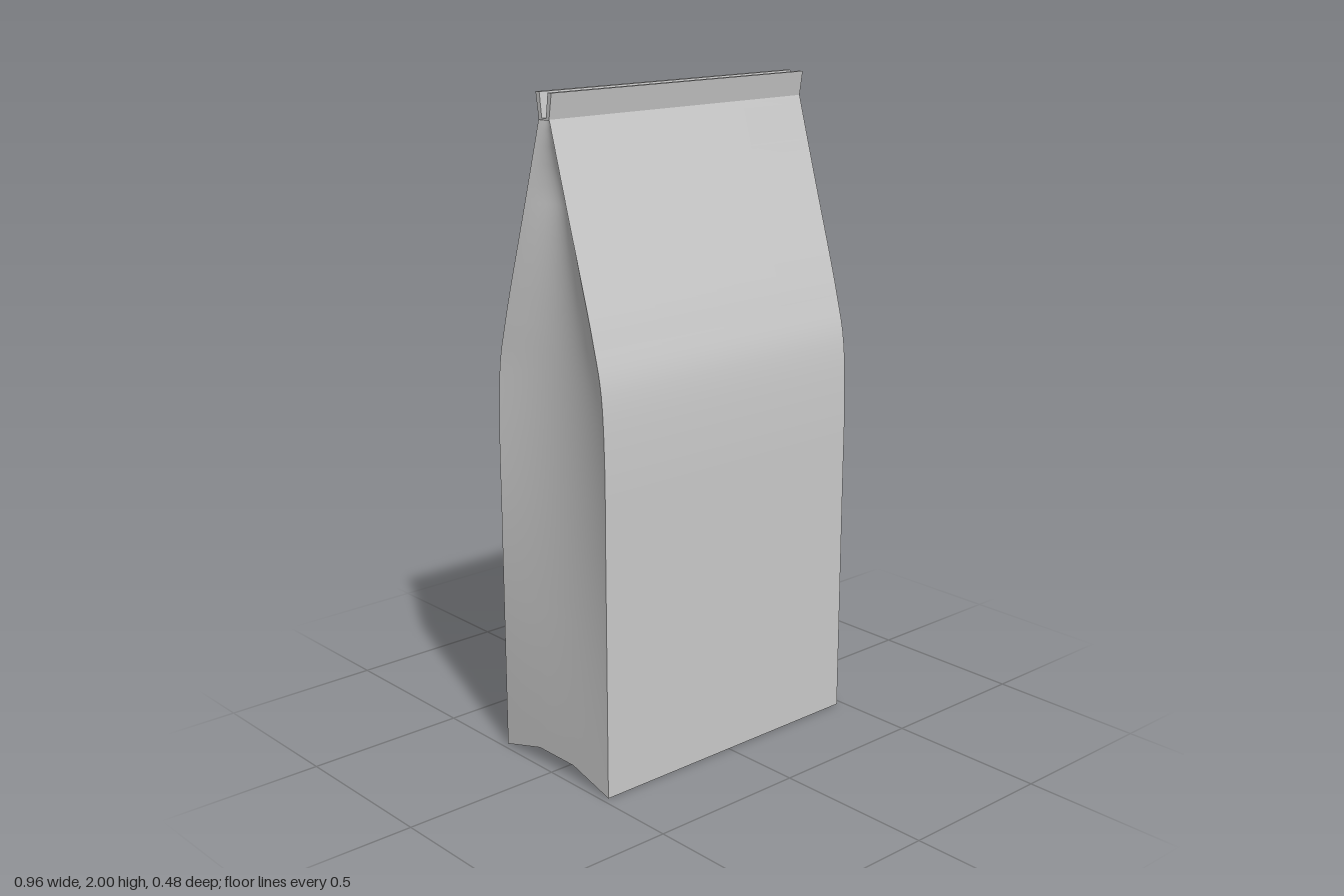
import * as THREE from 'three';
import { ParametricGeometry } from 'three/addons/geometries/ParametricGeometry.js';

const HALF_WIDTH = 0.48;
const HALF_DEPTH = 0.24;

// Edge of the front panel as (z, y), from the base to the neck
const profile = new THREE.SplineCurve([
  [0.24, 0], [0.24, 0.25], [0.24, 0.5], [0.24, 0.75], [0.24, 1.0],
  [0.229, 1.2], [0.197, 1.34], [0.163, 1.46], [0.093, 1.69], [0.022, 1.93],
].map(([z, y]) => new THREE.Vector2(z, y)));

// Rise of the hollow base at s = -1..1 across the depth
const arch = (s) => 0.045 * Math.min(1, (1 - Math.abs(s)) * 1.5);

// How far the side gusset folds inwards at height y
function foldDepth(y) {
  const grow = 0.05 * THREE.MathUtils.smoothstep(y, 0, 1.6);
  return grow * (1 - 0.7 * THREE.MathUtils.smoothstep(y, 1.7, 1.93));
}

export function createModel() {
  const bag = new THREE.Group();
  bag.name = 'bag';
  const material = new THREE.MeshStandardMaterial({ color: 0xcccccc, side: THREE.DoubleSide });

  const add = (name, geometry, turn = 0) => {
    const mesh = new THREE.Mesh(geometry, material);
    mesh.name = name;
    mesh.rotation.y = turn;
    bag.add(mesh);
  };

  // Front and back panels
  const panel = new ParametricGeometry((u, v, target) => {
    const p = profile.getPoint(v);
    target.set((u * 2 - 1) * HALF_WIDTH, p.y, p.x);
  }, 4, 45);
  add('frontPanel', panel);
  add('backPanel', panel, Math.PI);

  // Side gussets, folded gently inwards and following the hollow base
  const gusset = new ParametricGeometry((u, v, target) => {
    const p = profile.getPoint(v);
    const s = 1 - 2 * u;
    const inward = foldDepth(p.y) * (1 - s * s);
    const lift = arch(s) * Math.max(0, 1 - p.y / 0.5);
    target.set(HALF_WIDTH - inward, p.y + lift, s * p.x);
  }, 12, 45);
  add('leftGusset', gusset);
  add('rightGusset', gusset, Math.PI);

  // Hollow base
  add('base', new ParametricGeometry((u, v, target) => {
    const s = v * 2 - 1;
    target.set((u * 2 - 1) * HALF_WIDTH, arch(s), s * HALF_DEPTH);
  }, 2, 12));

  // Two sealing lips with a narrow channel between them
  const lipSection = new THREE.Shape([
    [-0.022, 1.925], [0.022, 1.925], [0.034, 2], [0.018, 2],
    [0.009, 1.93], [-0.009, 1.93], [-0.018, 2], [-0.034, 2],
  ].map(([z, y]) => new THREE.Vector2(z, y)));
  const lips = new THREE.ExtrudeGeometry(lipSection, { depth: HALF_WIDTH * 2, bevelEnabled: false });
  lips.rotateY(Math.PI / 2).translate(-HALF_WIDTH, 0, 0);
  add('topLips', lips);

  return bag;
}
